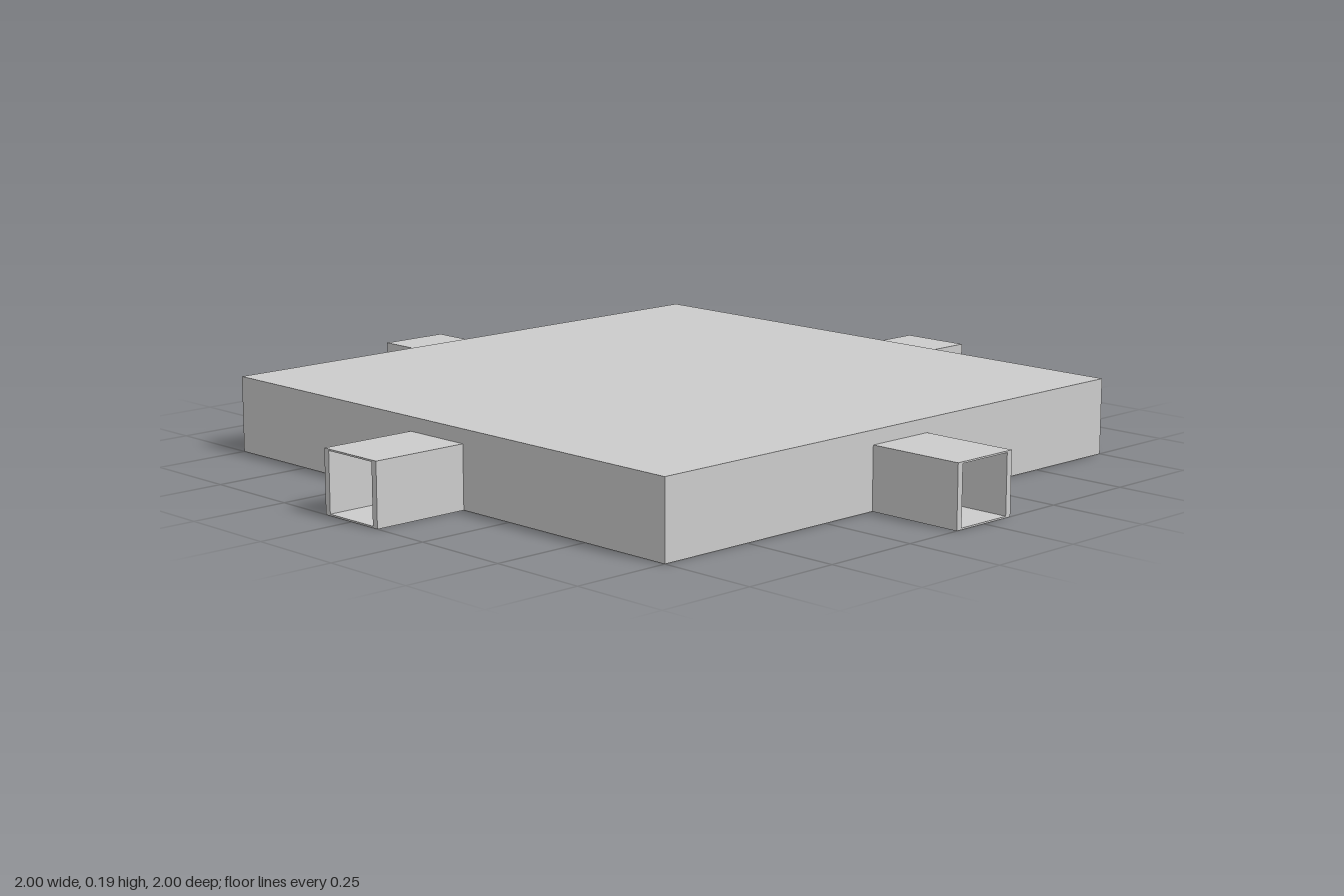
import * as THREE from 'three';
import { mergeGeometries } from 'three/addons/utils/BufferGeometryUtils.js';

const ROOM = 1.5, ROOM_H = 0.19;
const ARM_W = 0.186, ARM_H = 0.155, ARM_L = 0.25;
const WALL = 0.016, SLAB = 0.004;
const material = new THREE.MeshStandardMaterial({ color: 0xcccccc, flatShading: true });

function block(name, w, h, d, x, y, z) {
  const mesh = new THREE.Mesh(new THREE.BoxGeometry(w, h, d), material);
  mesh.name = name;
  mesh.position.set(x, y, z);
  return mesh;
}

// Roof made of rows of abutting thin tiles, top surface at y = top
function tiledRoof(name, w, d, cols, rows, top) {
  const tw = w / cols, td = d / rows, tiles = [];
  for (let i = 0; i < cols; i++) {
    for (let j = 0; j < rows; j++) {
      const tile = new THREE.BoxGeometry(tw, SLAB, td);
      tile.translate((i + 0.5) * tw - w / 2, top - SLAB / 2, (j + 0.5) * td - d / 2);
      tiles.push(tile);
    }
  }
  const mesh = new THREE.Mesh(mergeGeometries(tiles), material);
  mesh.name = name;
  return mesh;
}

// Closed square hall: floor, four walls and tiled roof
function createHall() {
  const hall = new THREE.Group();
  hall.name = 'hall';
  hall.add(block('hallFloor', ROOM, SLAB, ROOM, 0, SLAB / 2, 0));
  const h = ROOM_H - 2 * SLAB, offset = ROOM / 2 - WALL / 2;
  for (const s of [-1, 1]) {
    hall.add(block('hallWall', ROOM, h, WALL, 0, ROOM_H / 2, s * offset));
    hall.add(block('hallWall', WALL, h, ROOM - 2 * WALL, s * offset, ROOM_H / 2, 0));
  }
  hall.add(tiledRoof('hallRoof', ROOM, ROOM, 20, 40, ROOM_H));
  return hall;
}

// Open-ended passage running out along +z
function createPassage() {
  const passage = new THREE.Group();
  passage.name = 'passage';
  const z = ROOM / 2 + ARM_L / 2, h = ARM_H - 2 * SLAB;
  passage.add(block('passageFloor', ARM_W, SLAB, ARM_L, 0, SLAB / 2, z));
  for (const s of [-1, 1]) {
    passage.add(block('passageWall', WALL, h, ARM_L, s * (ARM_W - WALL) / 2, ARM_H / 2, z));
  }
  const roof = tiledRoof('passageRoof', ARM_W, ARM_L, 4, 5, ARM_H);
  roof.position.z = z;
  passage.add(roof);
  return passage;
}

export function createModel() {
  const model = new THREE.Group();
  model.name = 'crossHall';
  model.add(createHall());
  // One passage on each side
  for (let i = 0; i < 4; i++) {
    const passage = createPassage();
    passage.rotation.y = i * Math.PI / 2;
    model.add(passage);
  }
  return model;
}
